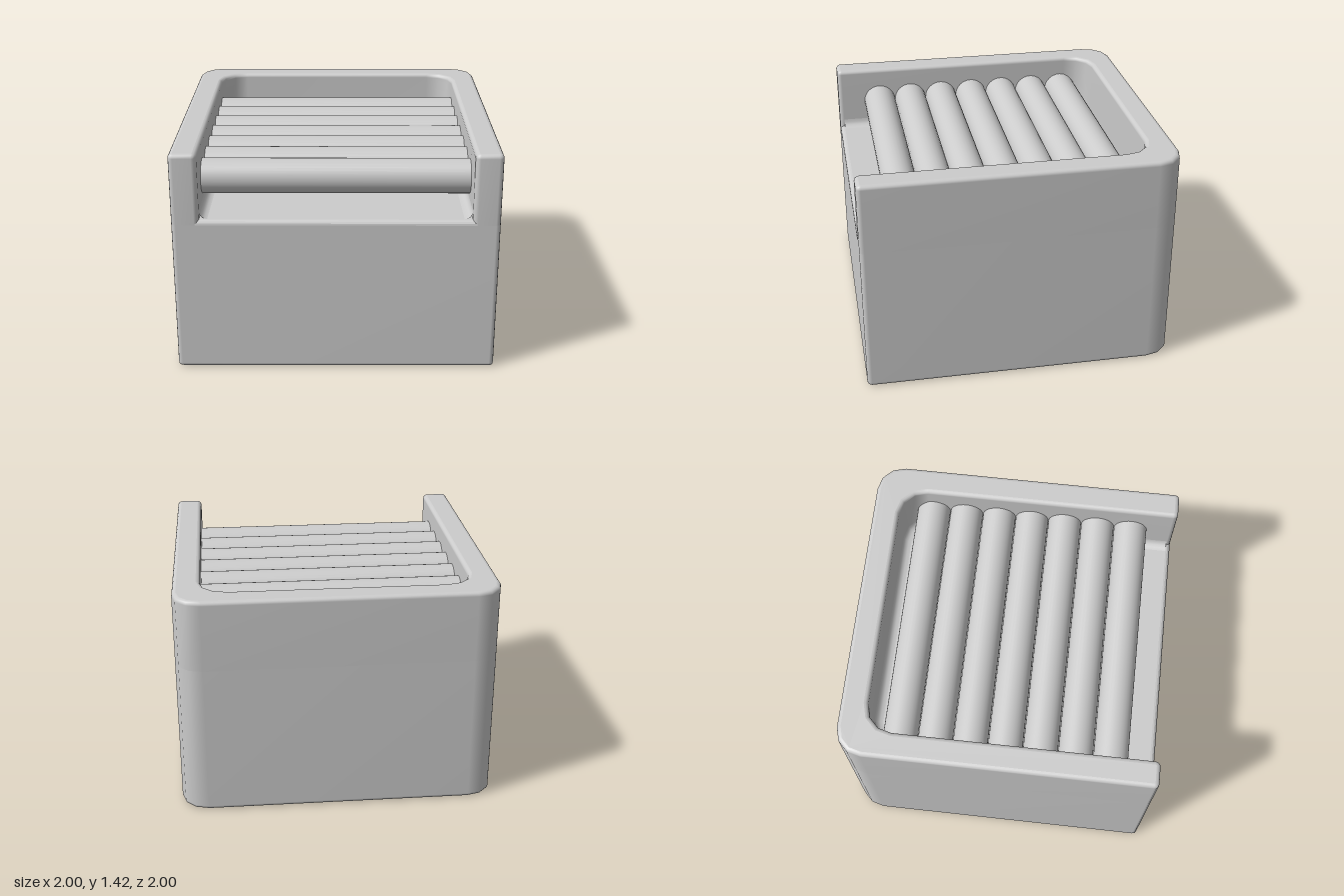
import * as THREE from 'three';

const HEIGHT = 1.42, FLOOR = 1.0, INNER = 0.83, ROUND = 0.17, EDGE = 0.03;

// Turns right-angled corners [x, z, radius] into a polyline with rounded corners.
function roundCorners(corners, closed = true) {
  const points = [];
  const n = corners.length;
  corners.forEach(([x, z, r], i) => {
    const c = new THREE.Vector2(x, z);
    if (!r || (!closed && (i === 0 || i === n - 1))) { points.push(c); return; }
    const toward = (j) => new THREE.Vector2(corners[j][0], corners[j][1]).sub(c).normalize();
    const prev = toward((i + n - 1) % n), next = toward((i + 1) % n);
    const centre = c.clone().addScaledVector(prev, r).addScaledVector(next, r);
    for (let k = 0; k <= 3; k++) {
      const a = (k / 3) * Math.PI / 2;
      points.push(centre.clone()
        .addScaledVector(next, -r * Math.cos(a))
        .addScaledVector(prev, -r * Math.sin(a)));
    }
  });
  return points;
}

// Moves a polyline sideways by d, keeping its corners mitred.
function offset(points, d, closed = true) {
  const n = points.length;
  const normal = (a, b) => new THREE.Vector2(a.y - b.y, b.x - a.x).normalize();
  return points.map((p, i) => {
    const before = closed || i > 0 ? normal(points[(i + n - 1) % n], p) : null;
    const after = closed || i < n - 1 ? normal(p, points[(i + 1) % n]) : null;
    const m = (before || after).clone().add(after || before).normalize();
    return p.clone().addScaledVector(m, d / m.dot(before || after));
  });
}

// Skins a path through rows of [inset, y], listed from bottom to top.
function loft(path, rows, closed = true) {
  const n = path.length, positions = [], index = [];
  rows.forEach(([inset, y]) => {
    offset(path, inset, closed).forEach((p) => positions.push(p.x, y, p.y));
  });
  for (let j = 0; j < rows.length - 1; j++) {
    for (let i = 0; i < (closed ? n : n - 1); i++) {
      const a = j * n + i, b = j * n + (i + 1) % n;
      index.push(a, a + n, b, b, a + n, b + n);
    }
  }
  const geometry = new THREE.BufferGeometry();
  geometry.setAttribute('position', new THREE.Float32BufferAttribute(positions, 3));
  geometry.setIndex(index);
  geometry.computeVertexNormals();
  return geometry;
}

// Flat face filling an outline, looking up (+1) or down (-1).
function cap(path, y, facing) {
  const shape = new THREE.Shape(path.map((p) => new THREE.Vector2(p.x, -facing * p.y)));
  return new THREE.ShapeGeometry(shape).rotateX(-facing * Math.PI / 2).translate(0, y, 0);
}

// Quarter-circle steps, from 0 to 90 degrees.
const quarter = (fn, steps = 4) =>
  Array.from({ length: steps + 1 }, (_, k) => fn((k / steps) * Math.PI / 2));

export function createModel() {
  const group = new THREE.Group();
  const grey = new THREE.MeshStandardMaterial({ color: 0xcccccc, side: THREE.DoubleSide });
  grey.name = 'light grey';
  const add = (name, geometry) => {
    const mesh = new THREE.Mesh(geometry, grey);
    mesh.name = name;
    group.add(mesh);
    return mesh;
  };

  // Lower body, with a rounded bottom edge
  const bodyPath = roundCorners([[1, 1, EDGE], [-1, 1, EDGE], [-1, -1, ROUND], [1, -1, ROUND]]);
  const bevel = 0.026;
  const bottomRows = quarter((a) => [bevel * (1 - Math.sin(a)), bevel * (1 - Math.cos(a))]);
  add('body', loft(bodyPath, [...bottomRows, [0, FLOOR - EDGE]]));
  add('bodyBottom', cap(offset(bodyPath, bevel), 0, -1));

  // U-shaped wall, open to the front, with a rounded top edge
  const wallPath = roundCorners([
    [1, 1, EDGE], [INNER, 1, EDGE],
    [INNER, -INNER, ROUND], [-INNER, -INNER, ROUND],
    [-INNER, 1, EDGE], [-1, 1, EDGE],
    [-1, -1, ROUND], [1, -1, ROUND],
  ]);
  const topRows = quarter((a) => [bevel * (1 - Math.cos(a)), HEIGHT - bevel * (1 - Math.sin(a))]);
  add('wall', loft(wallPath, [[0, FLOOR - EDGE], ...topRows]));
  add('wallTop', cap(offset(wallPath, bevel), HEIGHT, 1));

  // Tray floor with a rounded front lip, extruded across the width
  const lip = quarter((a) => [
    1 - EDGE * (1 - Math.cos(a)),
    FLOOR - EDGE * (1 - Math.sin(a)),
  ]);
  const profile = [...lip, [-0.86, FLOOR], [-0.86, 0.9], [0.9, 0.9], [0.9, FLOOR - EDGE]];
  const floorShape = new THREE.Shape(profile.map(([z, y]) => new THREE.Vector2(-z, y)));
  const width = 2 * INNER + 0.05;
  add('trayFloor', new THREE.ExtrudeGeometry(floorShape, { depth: width, bevelEnabled: false })
    .rotateY(Math.PI / 2).translate(-width / 2, 0, 0));

  // Curved joint between floor and wall
  const jointPath = roundCorners([
    [INNER, 0.97], [INNER, -INNER, ROUND], [-INNER, -INNER, ROUND], [-INNER, 0.97],
  ], false);
  const r = 0.05;
  const jointRows = quarter((a) => [-r * (1 - Math.sin(a)), FLOOR + r * (1 - Math.cos(a))]);
  add('floorJoint', loft(jointPath, jointRows, false));

  // Row of rollers between the side walls
  for (let i = 0; i < 7; i++) {
    const roller = add('roller' + (i + 1),
      new THREE.CylinderGeometry(0.11, 0.11, 2 * INNER, 32).rotateZ(Math.PI / 2));
    roller.position.set(0, 1.185, 0.705 - i * 0.2225);
  }
  return group;
}
